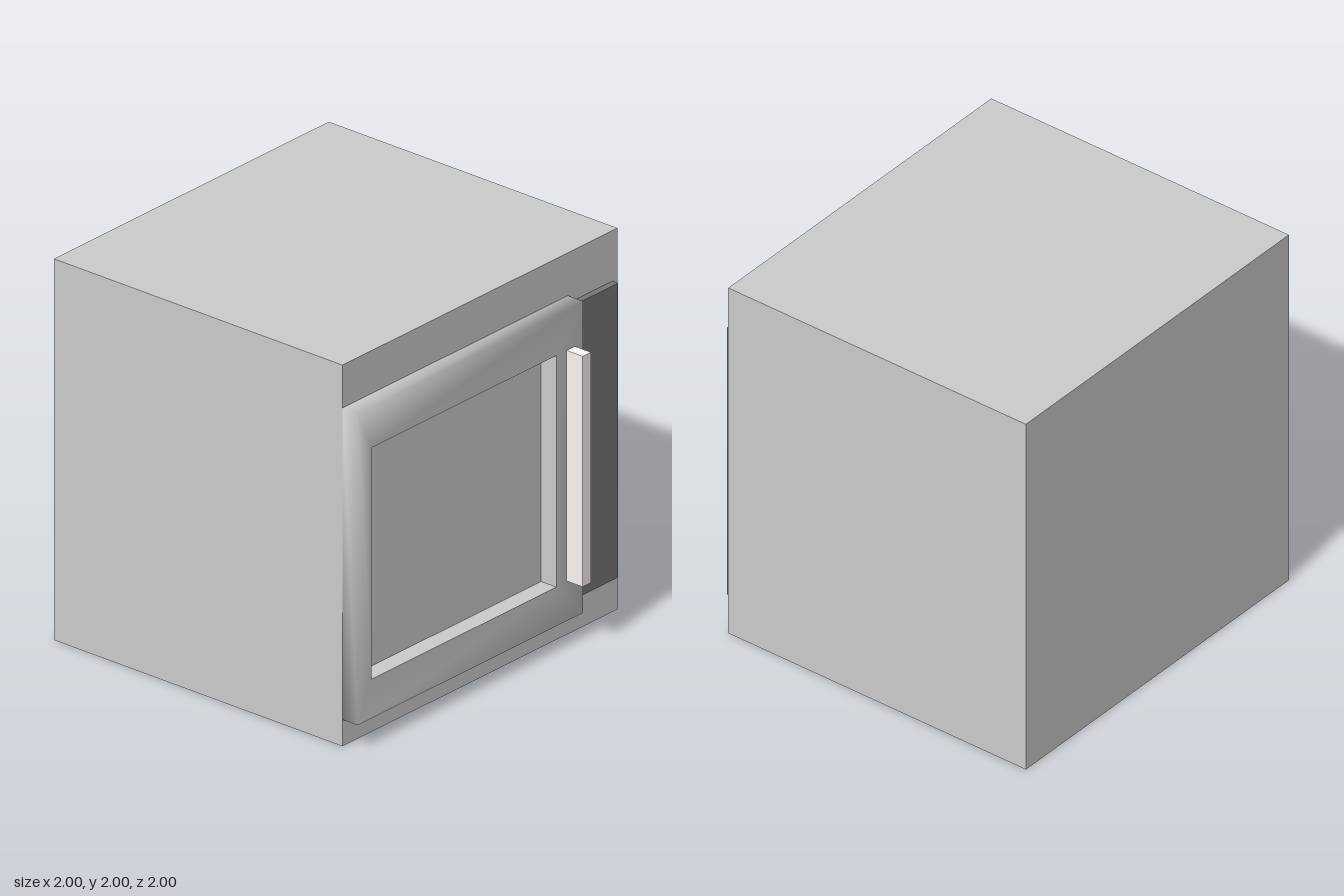
import * as THREE from 'three';

const FRONT = 0.805; // front face of the cabinet

function material(color = 0xcccccc) {
  return new THREE.MeshStandardMaterial({ color });
}

// Box given by its limits on each axis
function block(name, [x0, x1], [y0, y1], [z0, z1], color) {
  const mesh = new THREE.Mesh(new THREE.BoxGeometry(x1 - x0, y1 - y0, z1 - z0), material(color));
  mesh.position.set((x0 + x1) / 2, (y0 + y1) / 2, (z0 + z1) / 2);
  mesh.name = name;
  return mesh;
}

// Four corners of an upright rectangle, counter-clockwise from the front
function corners([x0, x1], [y0, y1], z) {
  return [x0, y0, z, x1, y0, z, x1, y1, z, x0, y1, z];
}

// Rectangular frame: outer rim shaded softly into the face, opening kept sharp
function frameGeometry(outerX, outerY, innerX, innerY, zBack, zFront) {
  const rings = [
    corners(outerX, outerY, zBack),
    corners(outerX, outerY, zFront),
    corners(innerX, innerY, zFront),
  ];
  const index = [];
  for (let r = 0; r < 2; r++) {
    for (let i = 0; i < 4; i++) {
      const j = (i + 1) % 4;
      const a = r * 4 + i, b = r * 4 + j, c = a + 4, d = b + 4;
      index.push(a, b, d, a, d, c);
    }
  }
  // Inner walls have their own vertices, one quad per side
  const positions = rings.flat();
  const front = rings[2], back = corners(innerX, innerY, zBack);
  for (let i = 0; i < 4; i++) {
    const j = (i + 1) % 4, n = positions.length / 3;
    for (const [ring, k] of [[front, i], [front, j], [back, j], [back, i]]) {
      positions.push(...ring.slice(k * 3, k * 3 + 3));
    }
    index.push(n, n + 1, n + 2, n, n + 2, n + 3);
  }
  const geometry = new THREE.BufferGeometry();
  geometry.setAttribute('position', new THREE.Float32BufferAttribute(positions, 3));
  geometry.setIndex(index);
  geometry.computeVertexNormals();
  return geometry;
}

export function createModel() {
  const group = new THREE.Group();
  group.name = 'microwaveOven';

  // Cabinet; its front face closes the door opening as the window
  group.add(block('cabinet', [-1, 1], [0, 2], [-1, FRONT]));

  // Door frame around the recessed window
  const door = new THREE.Mesh(
    frameGeometry([-1, 0.64], [0.14, 1.775], [-0.9, 0.445], [0.345, 1.56], FRONT, 0.9),
    material()
  );
  door.name = 'doorFrame';
  group.add(door);

  // Upright handle bar and control panel
  group.add(block('handle', [0.52, 0.58], [0.35, 1.56], [0.9, 1], 0xfaf5f3));
  group.add(block('controlPanel', [0.68, 0.965], [0.19, 1.735], [FRONT, 0.84], 0x777777));

  return group;
}
